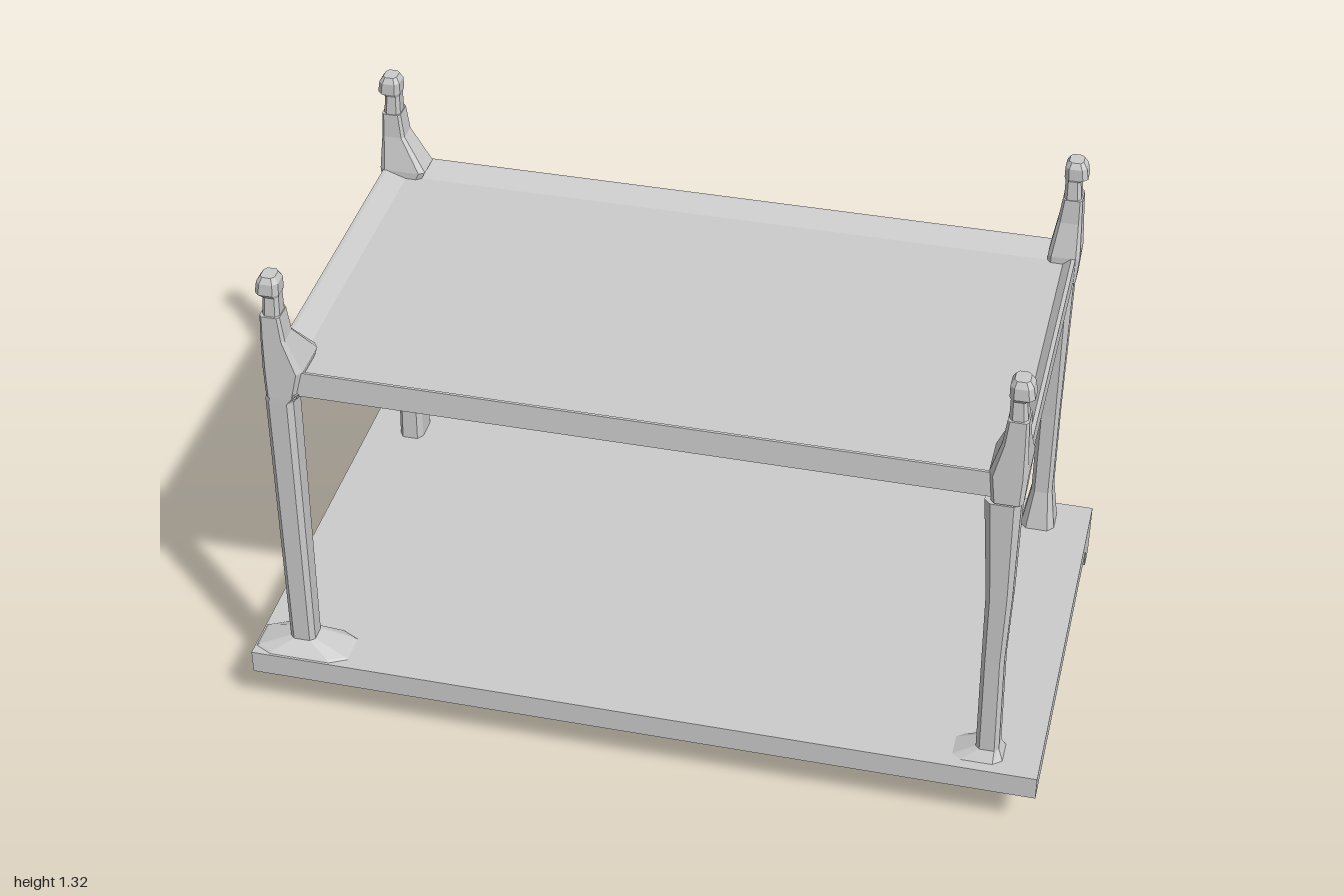
import * as THREE from 'three';

const material = new THREE.MeshStandardMaterial({ color: 0xcccccc, flatShading: true });

function addMesh(parent, name, geometry) {
  const mesh = new THREE.Mesh(geometry, material);
  mesh.name = name;
  parent.add(mesh);
  return mesh;
}

// Corner points of a rectangle in x/z, optionally with cut corners
function ring([y, xa, xb, za, zb], cut) {
  const x0 = Math.min(xa, xb), x1 = Math.max(xa, xb);
  const z0 = Math.min(za, zb), z1 = Math.max(za, zb);
  const cx = (x1 - x0) * cut, cz = (z1 - z0) * cut;
  const pts = cut
    ? [[x1, z0 + cz], [x1, z1 - cz], [x1 - cx, z1], [x0 + cx, z1],
      [x0, z1 - cz], [x0, z0 + cz], [x0 + cx, z0], [x1 - cx, z0]]
    : [[x1, z0], [x1, z1], [x0, z1], [x0, z0]];
  return pts.map(([x, z]) => new THREE.Vector3(x, y, z));
}

// Closed solid through stacked sections [y, x, x, z, z]
function loft(sections, cut = 0) {
  const rings = sections.map((s) => ring(s, cut));
  const n = rings[0].length, pts = [];
  for (let k = 0; k < rings.length - 1; k++) {
    for (let i = 0; i < n; i++) {
      const j = (i + 1) % n;
      const [a, b, A, B] = [rings[k][i], rings[k][j], rings[k + 1][i], rings[k + 1][j]];
      pts.push(a, A, b, b, A, B);
    }
  }
  const low = rings[0], high = rings[rings.length - 1];
  for (let i = 1; i < n - 1; i++) {
    pts.push(low[0], low[i], low[i + 1], high[0], high[i + 1], high[i]);
  }
  const geometry = new THREE.BufferGeometry().setFromPoints(pts);
  geometry.computeVertexNormals();
  return geometry;
}

// Profile of [z, y] points swept along x
function sweepX(profile, x0, x1) {
  const shape = new THREE.Shape(profile.map(([z, y]) => new THREE.Vector2(-z, y)));
  const geometry = new THREE.ExtrudeGeometry(shape, { depth: x1 - x0, bevelEnabled: false });
  return geometry.rotateY(Math.PI / 2).translate(x0, 0, 0);
}

// Distances from the centre: [y, x outer, x inner, z outer, z inner]
const corners = [
  {
    name: 'frontRight', sx: -1, sz: 1,
    leg: [[0.185, 1, 0.75, 0.532, 0.4], [0.192, 0.99, 0.76, 0.525, 0.405], [0.22, 0.91, 0.845, 0.493, 0.43],
      [0.97, 0.91, 0.84, 0.498, 0.42], [1, 0.905, 0.81, 0.498, 0.37]],
    gusset: [0.81, 0.36],
  },
  {
    name: 'frontLeft', sx: 1, sz: 1,
    leg: [[0.185, 0.91, 0.78, 0.51, 0.41], [0.215, 0.897, 0.84, 0.49, 0.43], [0.5, 0.892, 0.837, 0.492, 0.43],
      [0.7, 0.898, 0.835, 0.495, 0.425], [0.98, 0.9, 0.815, 0.498, 0.415]],
    gusset: [0.82, 0.36],
  },
  {
    name: 'backRight', sx: -1, sz: -1,
    leg: [[0.185, 0.91, 0.845, 0.507, 0.41], [0.3, 0.908, 0.846, 0.504, 0.415],
      [0.98, 0.902, 0.85, 0.495, 0.42], [1, 0.9, 0.82, 0.495, 0.38]],
    gusset: [0.79, 0.41],
  },
  {
    name: 'backLeft', sx: 1, sz: -1,
    leg: [[0.185, 0.91, 0.82, 0.507, 0.41], [0.3, 0.895, 0.84, 0.5, 0.43], [0.55, 0.895, 0.84, 0.495, 0.432],
      [0.98, 0.9, 0.82, 0.5, 0.415]],
    gusset: [0.83, 0.41],
  },
];

function makePost({ name, sx, sz, leg, gusset: [gx, gz] }) {
  const post = new THREE.Group();
  post.name = name + 'Post';
  const place = ([y, xo, xi, zo, zi]) => [y, sx * xo, sx * xi, sz * zo, sz * zi];
  addMesh(post, 'leg', loft(leg.map(place), 0.18));
  // Flared collar rising from the shelf into the narrow neck
  addMesh(post, 'collar', loft([
    [0.985, 0.905, 0.83, 0.5, 0.41], [1.06, 0.91, gx, 0.498, gz], [1.15, 0.905, 0.845, 0.495, 0.43],
    [1.215, 0.902, 0.853, 0.493, 0.433],
  ].map(place), 0.12));
  // Stepped cap with a slightly wider knob
  addMesh(post, 'finial', loft([
    [1.215, 0.898, 0.855, 0.488, 0.435], [1.265, 0.893, 0.855, 0.485, 0.438],
    [1.275, 0.91, 0.852, 0.492, 0.432], [1.305, 0.905, 0.852, 0.49, 0.432], [1.32, 0.895, 0.86, 0.482, 0.44],
  ].map(place), 0.2));
  return post;
}

export function createModel() {
  const model = new THREE.Group();
  model.name = 'twoTierTable';

  // Lower slab
  addMesh(model, 'baseSlab', loft([[0.125, -1, 1, -0.535, 0.535], [0.188, -1, 1, -0.535, 0.535]]));

  // Upper shelf with a shallow sunken top inside a sloping rim
  addMesh(model, 'shelf', loft([
    [0.995, -0.9, 0.9, -0.492, 0.49], [1.06, -0.9, 0.9, -0.492, 0.485],
    [1.06, -0.89, 0.89, -0.485, 0.478], [1.042, -0.84, 0.87, -0.42, 0.46],
  ]));

  // Tapered skirt under the back edge: stepped end blocks and a recessed panel
  const full = [[-0.43, 0.126], [-0.48, 0], [-0.51, 0], [-0.535, 0.126]];
  const short = [[-0.43, 0.126], [-0.46, 0.05], [-0.525, 0.05], [-0.535, 0.126]];
  const panel = [[-0.43, 0.126], [-0.482, 0.085], [-0.482, 0], [-0.508, 0], [-0.515, 0.085], [-0.455, 0.126]];
  [[full, -1, -0.86], [short, -0.86, -0.74], [full, 0.78, 0.91], [short, 0.91, 1]].forEach(
    ([profile, x0, x1]) => addMesh(model, 'skirtBlock', sweepX(profile, x0, x1)));
  addMesh(model, 'skirtPanel', sweepX(panel, -0.86, 0.78));

  // Four corner posts
  corners.forEach((corner) => model.add(makePost(corner)));
  return model;
}
